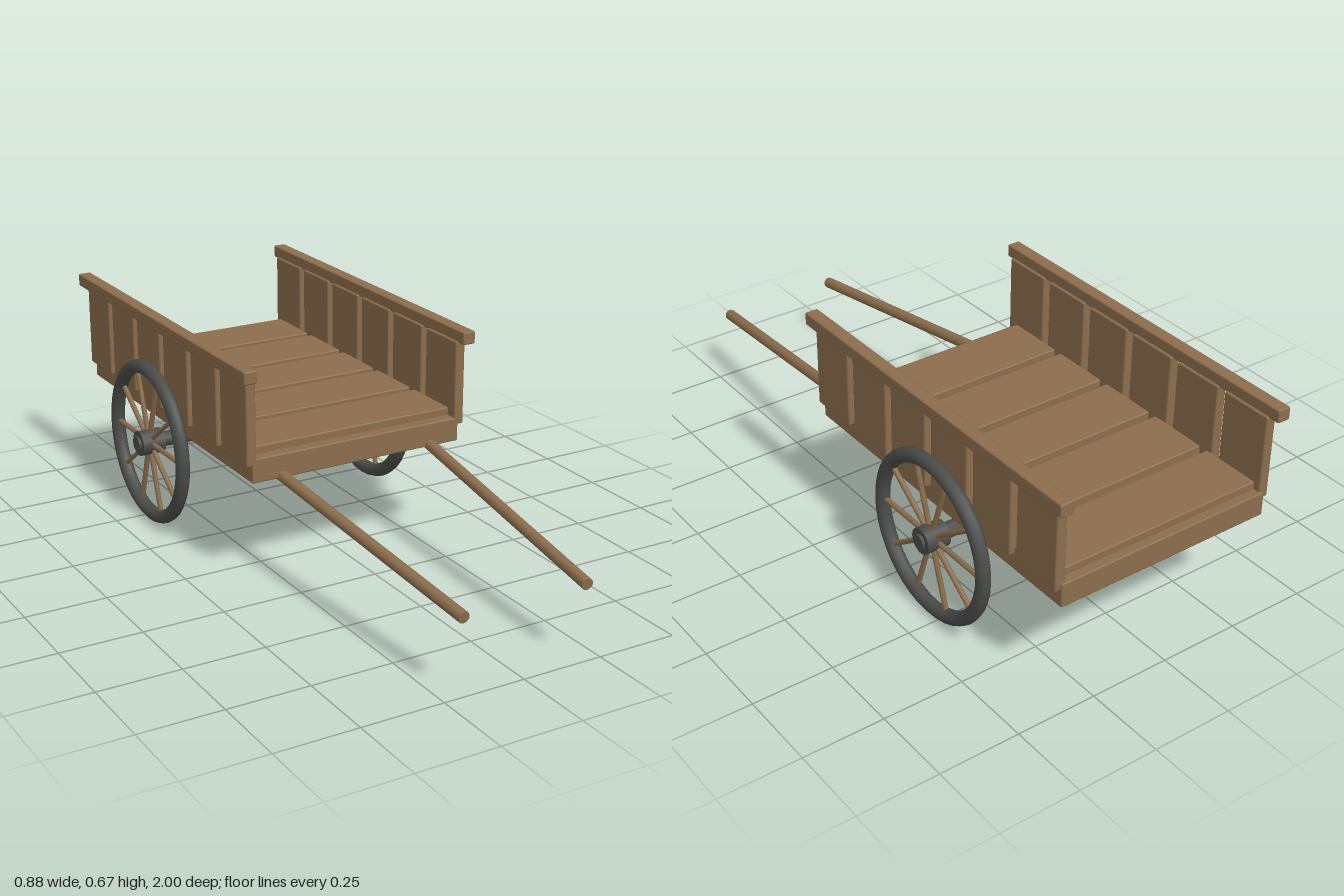
import * as THREE from 'three';
import { RoundedBoxGeometry } from 'three/addons/geometries/RoundedBoxGeometry.js';

export function createModel() {
  const wood = new THREE.MeshStandardMaterial({ color: 0x8b6d4c });
  wood.name = 'wood';
  const iron = new THREE.MeshStandardMaterial({ color: 0x4a4c4a });
  iron.name = 'dark iron';

  const cart = new THREE.Group();
  cart.name = 'handcart';
  const midZ = -0.41;

  const add = (parent, name, geometry, material, x, y, z) => {
    const mesh = new THREE.Mesh(geometry, material);
    mesh.name = name;
    mesh.position.set(x, y, z);
    parent.add(mesh);
    return mesh;
  };
  const board = (w, h, d) => new RoundedBoxGeometry(w, h, d, 1, 0.005);

  // Rod between two points
  const rod = (parent, name, material, from, to, radius, sides) => {
    const dir = to.clone().sub(from);
    const mid = from.clone().add(to).multiplyScalar(0.5);
    const mesh = add(parent, name, new THREE.CylinderGeometry(radius, radius, dir.length(), sides),
      material, mid.x, mid.y, mid.z);
    mesh.quaternion.setFromUnitVectors(new THREE.Vector3(0, 1, 0), dir.normalize());
    return mesh;
  };

  // Bed with raised floor planks
  add(cart, 'bed', board(0.7, 0.075, 1.122), wood, 0, 0.3635, midZ);
  for (let i = 0; i < 5; i++) {
    add(cart, 'floorPlank', board(0.68, 0.045, 0.191), wood, 0, 0.4025, midZ - 0.004 + (i - 2) * 0.217);
  }

  // Axle through both hubs
  const axleY = 0.264, axleZ = -0.46;
  rod(cart, 'axle', iron, new THREE.Vector3(-0.439, axleY, axleZ),
    new THREE.Vector3(0.439, axleY, axleZ), 0.024, 12);

  for (const side of [1, -1]) {
    // Slatted side wall with top rail
    const wall = new THREE.Group();
    wall.name = side > 0 ? 'leftWall' : 'rightWall';
    for (let i = 0; i < 6; i++) {
      add(wall, 'slat', board(0.032, 0.262, 0.164), wood, side * 0.352, 0.51, midZ + 0.003 + (i - 2.5) * 0.1905);
    }
    add(wall, 'topRail', board(0.042, 0.04, 1.176), wood, side * 0.365, 0.655, midZ);
    cart.add(wall);

    // Pull shaft
    rod(cart, side > 0 ? 'leftShaft' : 'rightShaft', wood,
      new THREE.Vector3(side * 0.254, 0.336, 0.11),
      new THREE.Vector3(side * 0.195, 0.23, 0.998), 0.0175, 10);

    // Wheel, turning about x
    const wheel = new THREE.Group();
    wheel.name = side > 0 ? 'leftWheel' : 'rightWheel';
    wheel.position.set(side * 0.394, axleY, axleZ);
    const rim = add(wheel, 'rim', new THREE.TorusGeometry(0.239, 0.022, 10, 40), iron, 0, 0, 0);
    rim.rotation.y = Math.PI / 2;
    const hub = add(wheel, 'hub', new THREE.CylinderGeometry(0.04, 0.04, 0.075, 14), iron, -side * 0.001, 0, 0);
    hub.rotation.z = Math.PI / 2;
    for (let i = 0; i < 10; i++) {
      const a = (i / 10) * Math.PI * 2;
      const out = new THREE.Vector3(0, Math.sin(a), Math.cos(a));
      rod(wheel, 'spoke', wood, out.clone().multiplyScalar(0.03), out.clone().multiplyScalar(0.235), 0.008, 6);
    }
    cart.add(wheel);
  }
  return cart;
}
